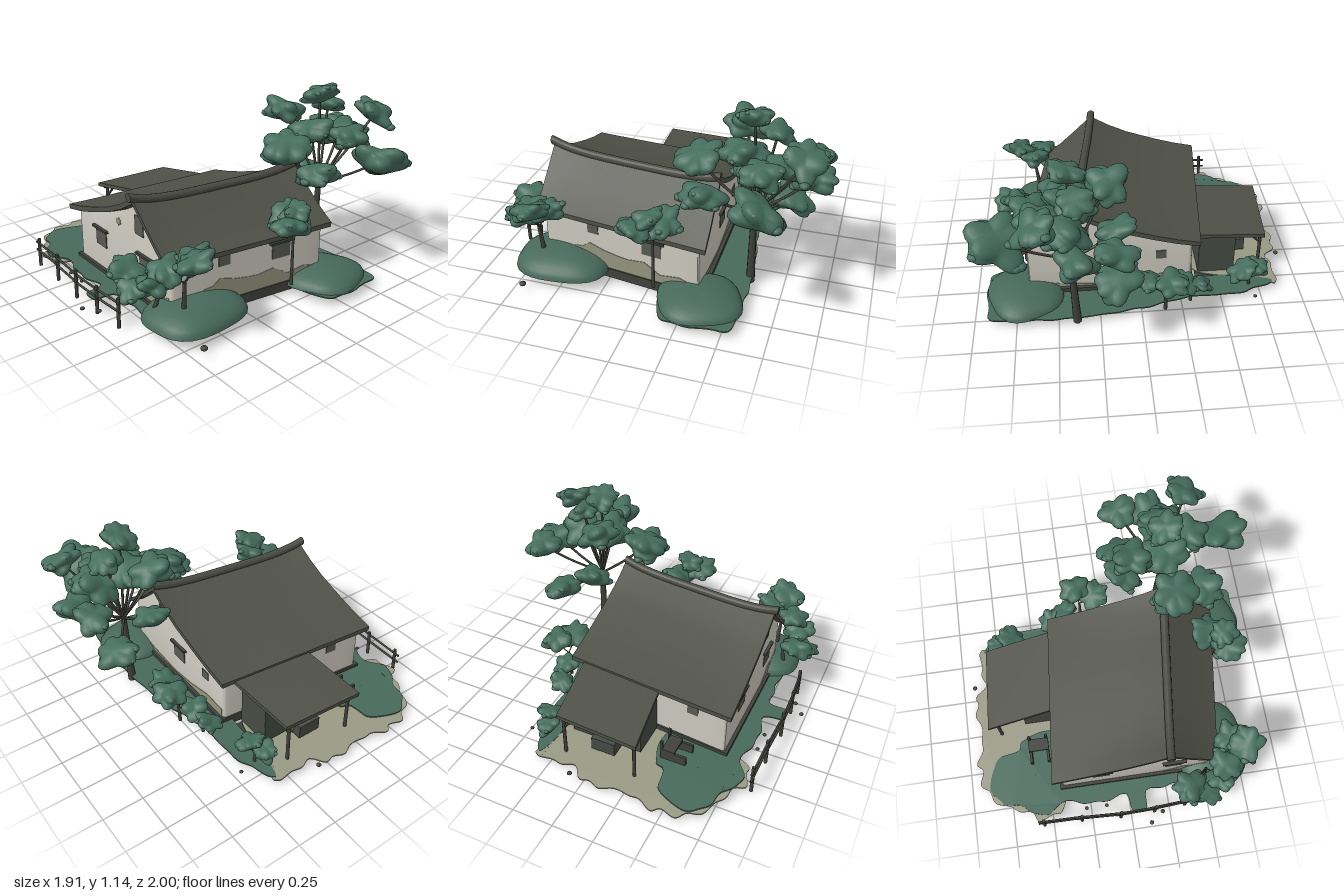
import * as THREE from 'three';
import { mergeVertices, mergeGeometries, toCreasedNormals } from 'three/addons/utils/BufferGeometryUtils.js';

const mat = (name, color, side = THREE.FrontSide) => {
  const m = new THREE.MeshStandardMaterial({ color, side });
  m.name = name;
  return m;
};

export function createModel() {
  const model = new THREE.Group();
  model.name = 'farmhouse';
  const M = {
    plaster: mat('plaster', 0xcdcabf), roof: mat('roof tiles', 0x4f5148), ridge: mat('ridge tiles', 0x494b43),
    wood: mat('dark wood', 0x41423c), damp: mat('damp plaster', 0x949580), window: mat('window', 0x575a52),
    leaf: mat('foliage', 0x456d5e), grass: mat('grass', 0x47695b, THREE.DoubleSide),
    sand: mat('sand', 0x999a85, THREE.DoubleSide), annex: mat('annex boards', 0x464b43),
  };
  let seed = 7;
  const rnd = () => (seed = (seed * 16807) % 2147483647) / 2147483647;
  const clamp = THREE.MathUtils.clamp;
  const add = (name, geo, m, parent = model) => {
    const mesh = new THREE.Mesh(geo, m);
    mesh.name = name;
    parent.add(mesh);
    return mesh;
  };
  const reshape = (geo, fn) => {
    const p = geo.attributes.position, v = new THREE.Vector3();
    for (let i = 0; i < p.count; i++) { fn(v.fromBufferAttribute(p, i)); p.setXYZ(i, v.x, v.y, v.z); }
    geo.computeVertexNormals();
    return geo;
  };
  const box = (x0, x1, y0, y1, z0, z1) =>
    new THREE.BoxGeometry(x1 - x0, y1 - y0, z1 - z0).translate((x0 + x1) / 2, (y0 + y1) / 2, (z0 + z1) / 2);
  const V = (x, y, z) => new THREE.Vector3(x, y, z);
  const rod = (a, b, r0, r1 = r0, sides = 7) => {
    const d = b.clone().sub(a);
    const g = new THREE.CylinderGeometry(r1, r0, d.length(), sides);
    g.applyQuaternion(new THREE.Quaternion().setFromUnitVectors(V(0, 1, 0), d.clone().normalize()));
    return g.translate((a.x + b.x) / 2, (a.y + b.y) / 2, (a.z + b.z) / 2);
  };
  const shapeOf = (pts) => new THREE.Shape(pts.map(([x, y]) => new THREE.Vector2(x, y)));
  const plate = (pts, depth) => new THREE.ExtrudeGeometry(shapeOf(pts), { depth, bevelEnabled: false });

  // House: built straight, then skewed in plan, with the ridge swept up at both ends
  const warp = (v) => {
    const t = (0.7 - v.z) / 1.06;
    v.y += 0.04 * clamp((v.y - 0.4) / 0.25, 0, 1) * (2 * t - 1) ** 4;
    v.x += t * (0.1 + 0.055 * (v.x + 0.46) / 1.01);
  };
  const house = new THREE.Group();
  house.name = 'house';
  model.add(house);
  const addHouse = (name, geo, m) => add(name, toCreasedNormals(reshape(geo, warp), 0.5), m, house);

  const wall = shapeOf([[-0.42, 0.08], [0.53, 0.08], [0.53, 0.41], [0.46, 0.46], [0.36, 0.538], [0.245, 0.633],
    [0.13, 0.577], [0, 0.523], [-0.2, 0.463], [-0.42, 0.41]]);
  addHouse('walls', new THREE.ExtrudeGeometry(wall, { depth: 0.95, steps: 10, bevelThickness: 0.02, bevelSize: 0.02,
    bevelOffset: -0.02, bevelSegments: 3 }).translate(0, 0, -0.3), M.plaster);
  const slope = [[-0.465, 0.415], [-0.33, 0.442], [-0.2, 0.475], [0, 0.535], [0.13, 0.588], [0.245, 0.648],
    [0.36, 0.552], [0.46, 0.472], [0.555, 0.41]];
  const under = slope.map(([x, y]) => [x, y - 0.028]).reverse();
  addHouse('roof', new THREE.ExtrudeGeometry(shapeOf([...slope, ...under]),
    { depth: 1.07, steps: 14, bevelEnabled: false }).translate(0, 0, -0.36), M.roof);
  addHouse('ridge', new THREE.CylinderGeometry(0.025, 0.025, 1.09, 12, 16).rotateX(Math.PI / 2)
    .translate(0.245, 0.65, 0.185), M.ridge);
  addHouse('foundation', box(-0.43, 0.54, 0.035, 0.095, -0.345, 0.69), M.wood);

  // Windows and lintels on the four walls
  const pane = (x0, x1, y0, y1, z, lintel) => {
    addHouse('window', box(x0, x1, y0, y1, z - 0.004, z + 0.004), M.window);
    if (lintel) addHouse('lintel', box(x0 - 0.02, x1 + 0.02, y1, y1 + 0.014, z - 0.018, z + 0.018), M.wood);
  };
  const sidePane = (x, z0, z1, y0, y1, lintel) => {
    addHouse('sideWindow', box(x - 0.004, x + 0.004, y0, y1, z0, z1), M.window);
    if (lintel) addHouse('sideLintel', box(x - 0.018, x + 0.018, y1, y1 + 0.014, z0 - 0.02, z1 + 0.02), M.wood);
  };
  pane(-0.22, -0.11, 0.24, 0.345, 0.671, true);
  pane(0.24, 0.35, 0.24, 0.345, 0.671, true);
  pane(0.205, 0.285, 0.455, 0.555, 0.671, false);
  pane(0.17, 0.24, 0.46, 0.53, -0.321, false);
  pane(-0.02, 0.09, 0.24, 0.34, -0.321, true);
  pane(-0.27, -0.21, 0.28, 0.34, -0.321, false);
  sidePane(0.531, 0.31, 0.38, 0.31, 0.37, false);
  sidePane(0.531, -0.09, 0.03, 0.26, 0.355, true);
  sidePane(-0.421, 0.42, 0.49, 0.29, 0.35, false);

  // Damp stains: thin plates with a ragged top
  const stain = (tops, base = 0.095) => plate([...tops, [tops.at(-1)[0], base], [tops[0][0], base]].reverse(), 0.006);
  addHouse('rightStain', stain([[-0.62, 0.12], [-0.56, 0.15], [-0.47, 0.195], [-0.42, 0.2], [-0.37, 0.238], [-0.28, 0.21],
    [-0.18, 0.195], [-0.12, 0.19], [-0.02, 0.205], [0.05, 0.165], [0.08, 0.145], [0.2, 0.165], [0.28, 0.14]])
    .rotateY(Math.PI / 2).translate(0.527, 0, 0), M.damp);
  addHouse('frontStain', stain([[0.24, 0.11], [0.3, 0.13], [0.35, 0.17], [0.42, 0.16], [0.51, 0.19]]).translate(0, 0, 0.667), M.damp);
  addHouse('backStain', stain([[-0.5, 0.15], [-0.35, 0.12], [-0.1, 0.1], [0.08, 0.12], [0.25, 0.16], [0.4, 0.15]])
    .rotateY(Math.PI).translate(0, 0, -0.317), M.damp);
  for (const [x, y, r] of [[0.035, 0.463, 0.022], [-0.33, 0.42, 0.012]])
    addHouse('plasterChip', new THREE.CylinderGeometry(r, r, 0.006, 6).rotateX(Math.PI / 2).translate(x, y, 0.671), M.damp);

  // Lean-to: sloping roof, boarded room, posts and braces
  const leanTo = new THREE.Group();
  leanTo.name = 'leanTo';
  model.add(leanTo);
  add('leanToRoof', toCreasedNormals(reshape(new THREE.BoxGeometry(1, 0.025, 1), (v) => {
    const u = v.x + 0.5, w = v.z + 0.5;
    v.set(-0.79 + 0.42 * u - 0.033 * w, 0.328 + 0.063 * u + v.y, -0.225 + 0.52 * w - 0.05 * u);
  }), 0.3), M.roof, leanTo);
  add('leanToRoom', box(-0.607, -0.38, 0.07, 0.35, -0.23, 0.22), M.annex, leanTo);
  add('yardSlab', plate([[-0.78, 0.25], [-0.78, -0.27], [-0.5, -0.69], [-0.4, -0.69], [-0.36, 0.3]], 0.006)
    .rotateX(-Math.PI / 2).translate(0, 0.035, 0), M.wood, leanTo);
  for (const z of [-0.19, 0.26]) {
    const s = z > 0 ? -1 : 1;
    add('post', rod(V(-0.77, 0.05, z), V(-0.77, 0.325, z), 0.011), M.wood, leanTo);
    add('brace', rod(V(-0.77, 0.25, z), V(-0.7, 0.33, z), 0.007), M.wood, leanTo);
    add('brace', rod(V(-0.77, 0.25, z), V(-0.77, 0.32, z + 0.07 * s), 0.007), M.wood, leanTo);
  }
  add('eaveBeam', rod(V(-0.765, 0.318, -0.22), V(-0.775, 0.318, 0.28), 0.009), M.wood, leanTo);
  add('crate', box(-0.71, -0.62, 0.08, 0.165, -0.05, 0.1), M.annex, leanTo);

  // Ground sheets with a wavy rim, sloping down toward the left edge
  const ground = (name, pts, y, wob, m) => {
    const curve = new THREE.CatmullRomCurve3(pts.map(([x, z]) => V(x, 0, z)), true, 'catmullrom', 0.4);
    const rim = curve.getSpacedPoints(160).slice(0, -1).map((p, i) => {
      const k = 1 + wob * Math.sin(i * 0.8) * (0.6 + 0.4 * Math.sin(i * 0.23));
      return [p.x * k, -p.z * k];
    });
    add(name, reshape(plate(rim, 0.008).rotateX(-Math.PI / 2), (v) => {
      v.y += y - 0.025 * clamp((-0.6 - v.x) / 0.36, 0, 1);
    }), m);
  };
  ground('sand', [[-0.86, -0.34], [-0.7, -0.3], [-0.35, -0.2], [-0.3, 0.3], [-0.42, 0.8], [-0.58, 0.85], [-0.7, 0.78],
    [-0.86, 0.7], [-0.94, 0.5], [-0.9, 0.25], [-0.93, 0.05], [-0.86, -0.1]], 0.06, 0.024, M.sand);
  ground('frontGrass', [[-0.8, 0.42], [-0.68, 0.4], [-0.63, 0.33], [-0.4, 0.3], [0.1, 0.6], [0.5, 0.6], [0.58, 0.76],
    [0.3, 0.76], [0.12, 0.78], [0.1, 0.89], [0.01, 0.89], [-0.02, 0.78], [-0.2, 0.81], [-0.42, 0.77], [-0.54, 0.84],
    [-0.7, 0.76], [-0.86, 0.68], [-0.87, 0.55]], 0.068, 0.012, M.grass);
  ground('backGrass', [[-0.84, -0.33], [-0.6, -0.44], [-0.3, -0.45], [0, -0.52], [0.4, -0.57], [0.87, -0.56], [0.92, -0.45],
    [0.92, -0.18], [0.7, -0.1], [0.3, -0.25], [-0.3, -0.27], [-0.6, -0.28]], 0.062, 0.012, M.grass);
  const mound = (x, y, z, rx, h, rz) => add('grassMound', reshape(
    new THREE.SphereGeometry(1, 32, 8, 0, Math.PI * 2, 0, Math.PI / 2), (v) => {
      const k = 1 + 0.05 * Math.sin(4 * Math.atan2(v.z, v.x) + x * 9);
      v.set(x + v.x * rx * k, y + v.y * h, z + v.z * rz * k);
    }), M.grass);
  mound(0.57, 0.08, 0.54, 0.24, 0.11, 0.3);
  mound(0.7, 0.065, -0.33, 0.23, 0.09, 0.25);

  // Foliage: lumpy masses whose lobes swell along random directions, dotted with leaf knobs
  const clump = (x, y, z, r) => {
    const p = rnd() * 6.28, tx = (rnd() - 0.5) * 0.6, tz = (rnd() - 0.5) * 0.6;
    const lobes = [];
    for (let i = 0; i < 9; i++) {
      const a = p + i * 2.4 + (rnd() - 0.5) * 0.9;
      lobes.push(V(Math.cos(a), rnd() * 1.4 - 0.6, Math.sin(a)).normalize());
    }
    const ball = new THREE.SphereGeometry(1, 40, 24);
    ball.deleteAttribute('uv');
    ball.deleteAttribute('normal');
    const parts = [reshape(mergeVertices(ball, 1e-4), (v) => {
      let swell = 0;
      for (const d of lobes) swell = Math.max(swell, Math.exp((d.dot(v) - 1) * 7));
      v.multiplyScalar(0.6 + 0.48 * swell);
      v.set(v.x, v.y * 0.78 + tx * v.x + tz * v.z, v.z).multiplyScalar(r);
    })];
    for (const d of lobes) {
      const knob = new THREE.SphereGeometry(r * (0.1 + 0.12 * rnd()), 8, 6).scale(1.2, 0.8, 1.1);
      const q = d.clone().multiplyScalar(r * (0.8 + 0.2 * rnd()));
      knob.translate(q.x, q.y * 0.78 + tx * q.x + tz * q.z, q.z);
      knob.deleteAttribute('uv');
      parts.push(knob);
    }
    return mergeGeometries(parts).translate(x, y, z);
  };
  const tree = (name, base, fork, r, clumps) => {
    const g = new THREE.Group();
    g.name = name;
    model.add(g);
    const a = V(...base), f = V(...fork);
    add('trunk', rod(a, f, r * 1.3, r * 0.85, 9), M.wood, g);
    for (const [x, y, z, s] of clumps) {
      const mid = f.clone().lerp(V(x, y, z), 0.5).add(V(0, -0.015, 0));
      add('branch', new THREE.TubeGeometry(new THREE.CatmullRomCurve3([f, mid, V(x, y, z)]), 6, r * 0.4, 6), M.wood, g);
      add('foliage', clump(x, y, z, s), M.leaf, g);
    }
  };
  tree('tallTree', [0.39, 0.03, -0.555], [0.41, 0.52, -0.56], 0.02, [
    [0.4, 1.08, -0.54, 0.105], [0.36, 1.0, -0.66, 0.1], [0.19, 0.95, -0.46, 0.13], [0.58, 0.95, -0.84, 0.12],
    [0.17, 0.78, -0.86, 0.12], [0.37, 0.75, -0.87, 0.125], [0.43, 0.83, -0.7, 0.145], [0.79, 0.74, -0.65, 0.165],
    [0.15, 0.65, -0.5, 0.12], [0.39, 0.86, -0.49, 0.15], [0.43, 0.8, -0.24, 0.145],
    [0.61, 0.69, -0.32, 0.135], [0.15, 0.49, -0.74, 0.13], [0.58, 0.85, -0.62, 0.12]]);
  tree('sideTree', [0.7, 0.1, -0.06], [0.7, 0.42, -0.06], 0.008,
    [[0.64, 0.48, -0.09, 0.115], [0.75, 0.51, 0.02, 0.11], [0.73, 0.56, -0.04, 0.09]]);
  tree('frontTree', [0.47, 0.1, 0.75], [0.5, 0.24, 0.72], 0.011, [[0.37, 0.36, 0.84, 0.105], [0.47, 0.3, 0.87, 0.09],
    [0.57, 0.34, 0.8, 0.1]]);
  tree('cornerTree', [0.62, 0.17, 0.65], [0.64, 0.34, 0.66], 0.011, [[0.6, 0.42, 0.74, 0.105], [0.73, 0.48, 0.66, 0.11],
    [0.64, 0.45, 0.59, 0.1]]);
  tree('backTree', [-0.14, 0.05, -0.52], [-0.14, 0.22, -0.53], 0.009, [[-0.16, 0.32, -0.59, 0.105], [-0.04, 0.29, -0.54, 0.1]]);
  tree('backBush', [-0.3, 0.05, -0.46], [-0.3, 0.12, -0.46], 0.008, [[-0.25, 0.21, -0.48, 0.085], [-0.35, 0.17, -0.45, 0.08]]);
  tree('leftBush', [-0.68, 0.05, -0.36], [-0.68, 0.12, -0.36], 0.008, [[-0.63, 0.17, -0.36, 0.09], [-0.73, 0.16, -0.33, 0.075]]);

  // Fence along the front
  const fence = new THREE.Group();
  fence.name = 'fence';
  model.add(fence);
  const fx = [-0.56, -0.32, -0.07, 0.15, 0.35], fz = [0.89, 0.895, 0.91, 0.905, 0.89];
  fx.forEach((x, i) => {
    add('fencePost', rod(V(x, 0.015, fz[i]), V(x + 0.005, 0.2 - 0.01 * (i % 2), fz[i]), 0.011), M.wood, fence);
    if (i) for (const y of [0.115, 0.168])
      add('fenceRail', rod(V(fx[i - 1] - 0.03, y, fz[i - 1]), V(x + 0.02, y + 0.003, fz[i]), 0.007), M.wood, fence);
  });

  // Yard bench and scattered stones
  const bench = new THREE.Group();
  bench.name = 'bench';
  model.add(bench);
  add('benchSeat', box(-0.6, -0.47, 0.13, 0.145, 0.35, 0.43), M.wood, bench);
  for (const x of [-0.59, -0.48]) {
    add('benchSide', box(x - 0.008, x + 0.008, 0.06, 0.13, 0.34, 0.5), M.wood, bench);
    add('benchBack', box(x - 0.008, x + 0.008, 0.13, 0.2, 0.34, 0.355), M.wood, bench);
  }
  for (const [x, z, r] of [[-0.58, 0.57, 0.02], [0.84, 0.69, 0.02], [-0.92, -0.08, 0.015], [-0.28, 0.83, 0.012],
    [0.12, 0.98, 0.014], [0.2, 0.92, 0.014], [-0.7, -0.47, 0.012], [-0.15, 0.83, 0.012]])
    add('stone', new THREE.IcosahedronGeometry(r, 1).scale(1, 0.7, 1).translate(x, 0.06, z), M.wood);
  return model;
}
